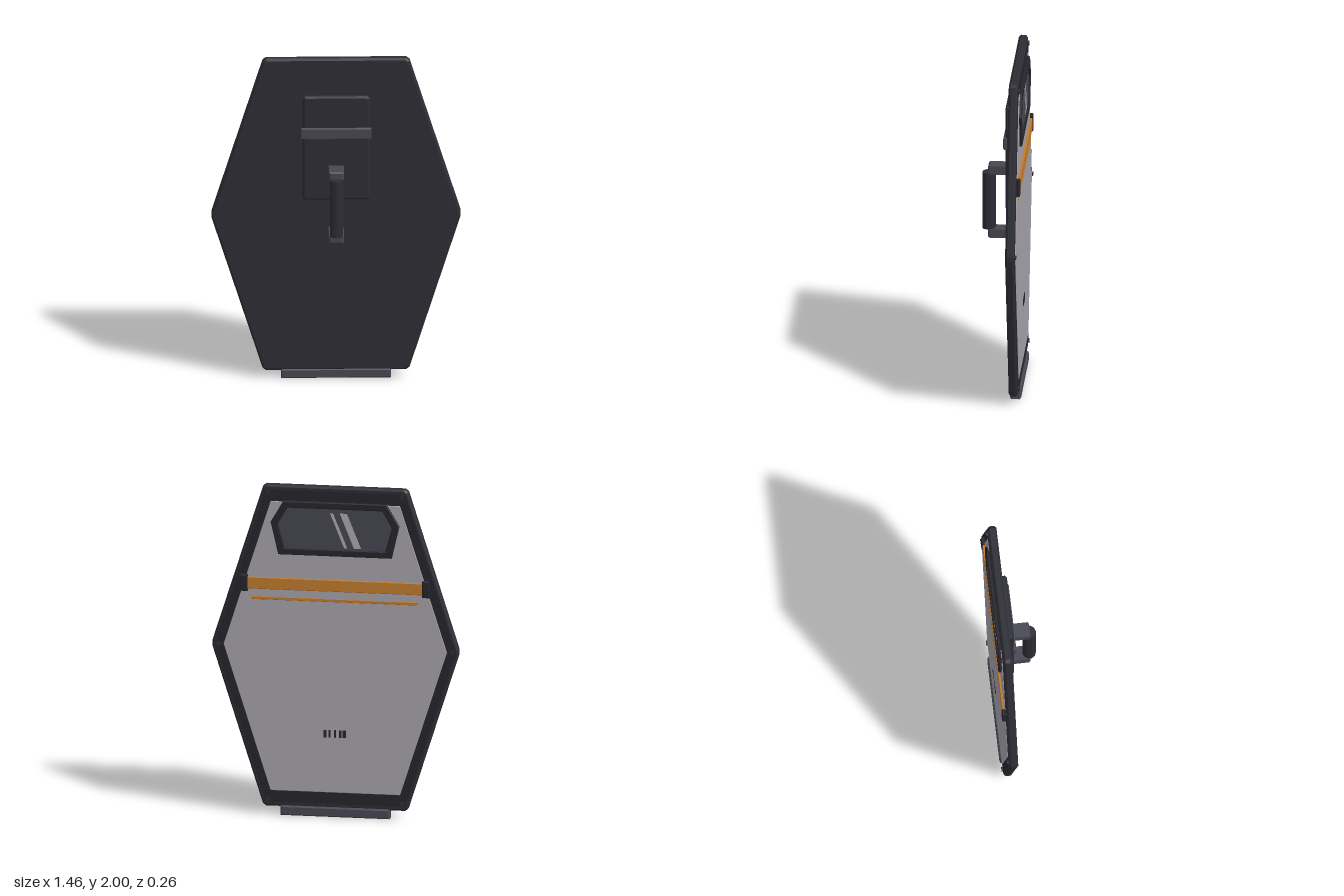
import * as THREE from 'three';

const material = (name, color) => {
  const m = new THREE.MeshStandardMaterial({ color });
  m.name = name;
  return m;
};

// Symmetric outline from the right-hand [x, y] points, listed bottom to top
const mirrored = (half) => [...half, ...half.map(([x, y]) => [-x, y]).reverse()];
const rect = (cx, cy, w, h) => [
  [cx - w / 2, cy - h / 2], [cx + w / 2, cy - h / 2],
  [cx + w / 2, cy + h / 2], [cx - w / 2, cy + h / 2],
];

// Cut every corner of a polygon by a distance c
function chamfer(points, c) {
  const v = points.map(([x, y]) => new THREE.Vector2(x, y));
  if (!c) return v;
  return v.flatMap((p, i) => {
    const prev = v[(i + v.length - 1) % v.length];
    const next = v[(i + 1) % v.length];
    return [prev, next].map((q) => p.clone().add(q.clone().sub(p).setLength(c)));
  });
}

export function createModel() {
  const dark = material('dark shell', 0x2c2c34);
  const frameDark = material('black trim', 0x25252b);
  const steel = material('slate fittings', 0x474753);
  const panelGrey = material('grey panel', 0xa5a1a9);
  const orange = material('orange', 0xc07a2c);
  const glassMat = material('smoked glass', 0x464651);
  const glareMat = material('glare', 0xaaa7b0);

  const group = new THREE.Group();
  const add = (name, geometry, mat) => {
    const mesh = new THREE.Mesh(geometry, mat);
    mesh.name = name;
    group.add(mesh);
    return mesh;
  };

  // Polygon plate between z0 and z1 with bevelled edges
  function plate(name, points, z0, z1, mat, bevel = 0, cut = 0, hole = null) {
    const shape = new THREE.Shape(chamfer(points, cut));
    if (hole) shape.holes.push(new THREE.Path(chamfer(hole, 0)));
    const geometry = new THREE.ExtrudeGeometry(shape, {
      depth: z1 - z0 - 2 * bevel,
      bevelEnabled: bevel > 0,
      bevelSize: bevel,
      bevelThickness: bevel,
      bevelOffset: -bevel,
      bevelSegments: 1,
    });
    geometry.translate(0, 0, z0 + bevel);
    return add(name, geometry, mat);
  }

  // Hexagonal body and inlaid back panel
  const hexagon = (s) => mirrored([[0.425, -0.975], [0.733, 0], [0.425, 0.975]]
    .map(([x, y]) => [x * s, 1.025 + y * s]));
  plate('shieldBody', hexagon(1), -0.108, -0.055, dark, 0.012, 0.015);
  plate('rimFace', hexagon(0.972), -0.109, -0.1, frameDark);
  plate('backPanel', hexagon(0.9), -0.113, -0.1, panelGrey, 0.003);

  // Rivets at the six corners of the rim
  for (const side of [-1, 1]) {
    for (const [x, y] of [[0.395, 1.955], [0.69, 1.025], [0.395, 0.095]]) {
      const rivet = add('rivet', new THREE.CylinderGeometry(0.014, 0.014, 0.014, 10), dark);
      rivet.rotation.x = Math.PI / 2;
      rivet.position.set(side * x, y, -0.111);
    }
  }

  // Viewing window: frame, glass and two slanted glare stripes
  const windowOuter = mirrored([[0.335, 1.585], [0.38, 1.78], [0.305, 1.91]]);
  const windowInner = mirrored([[0.298, 1.625], [0.336, 1.772], [0.28, 1.87]]);
  plate('windowFrame', windowOuter, -0.128, -0.105, frameDark, 0.005, 0, windowInner);
  plate('windowGlass', windowInner.map(([x, y]) => [x * 1.02, y]), -0.118, -0.105, glassMat);
  for (const [x, w] of [[0.03, 0.018], [-0.028, 0.042]]) {
    plate('glareStripe', [[x - w - 0.084, 1.635], [x - 0.084, 1.635], [x, 1.845], [x - w, 1.845]],
      -0.12, -0.117, glareMat);
  }

  // Orange band with end clips, and the thin line below it
  plate('orangeBand', rect(0, 1.405, 1.05, 0.07), -0.126, -0.105, orange, 0.003);
  for (const side of [-1, 1]) {
    plate('bandClip', rect(side * 0.537, 1.405, 0.042, 0.1), -0.131, -0.1, frameDark, 0.005);
  }
  plate('orangeLine', rect(0, 1.314, 0.98, 0.018), -0.118, -0.105, orange, 0.002);

  // Small marker bars low on the back
  for (const [x, w] of [[0.06, 0.018], [0.034, 0.012], [0, 0.012], [-0.03, 0.012], [-0.053, 0.02]]) {
    plate('markerBar', rect(x, 0.505, w, 0.045), -0.116, -0.11, frameDark);
  }

  // Foot strip under the bottom edge
  plate('footStrip', rect(0, 0.029, 0.644, 0.058), -0.12, -0.055, steel, 0.008);

  // Forearm pad and strap
  plate('armPad', rect(0, 1.453, 0.39, 0.645), -0.06, -0.02, dark, 0.01, 0.012);
  plate('armStrap', rect(0, 1.548, 0.414, 0.068), -0.028, -0.007, steel, 0.005);

  // Handle: two brackets and a faceted grip
  for (const y of [0.925, 1.32]) {
    plate('handleBracket', rect(0, y, 0.088, 0.052), -0.06, 0.094, steel, 0.008);
  }
  const gripGeometry = new THREE.CylinderGeometry(0.04, 0.04, 0.35, 10).toNonIndexed();
  gripGeometry.computeVertexNormals();
  add('handleGrip', gripGeometry, dark).position.set(0, 1.122, 0.09);

  return group;
}
